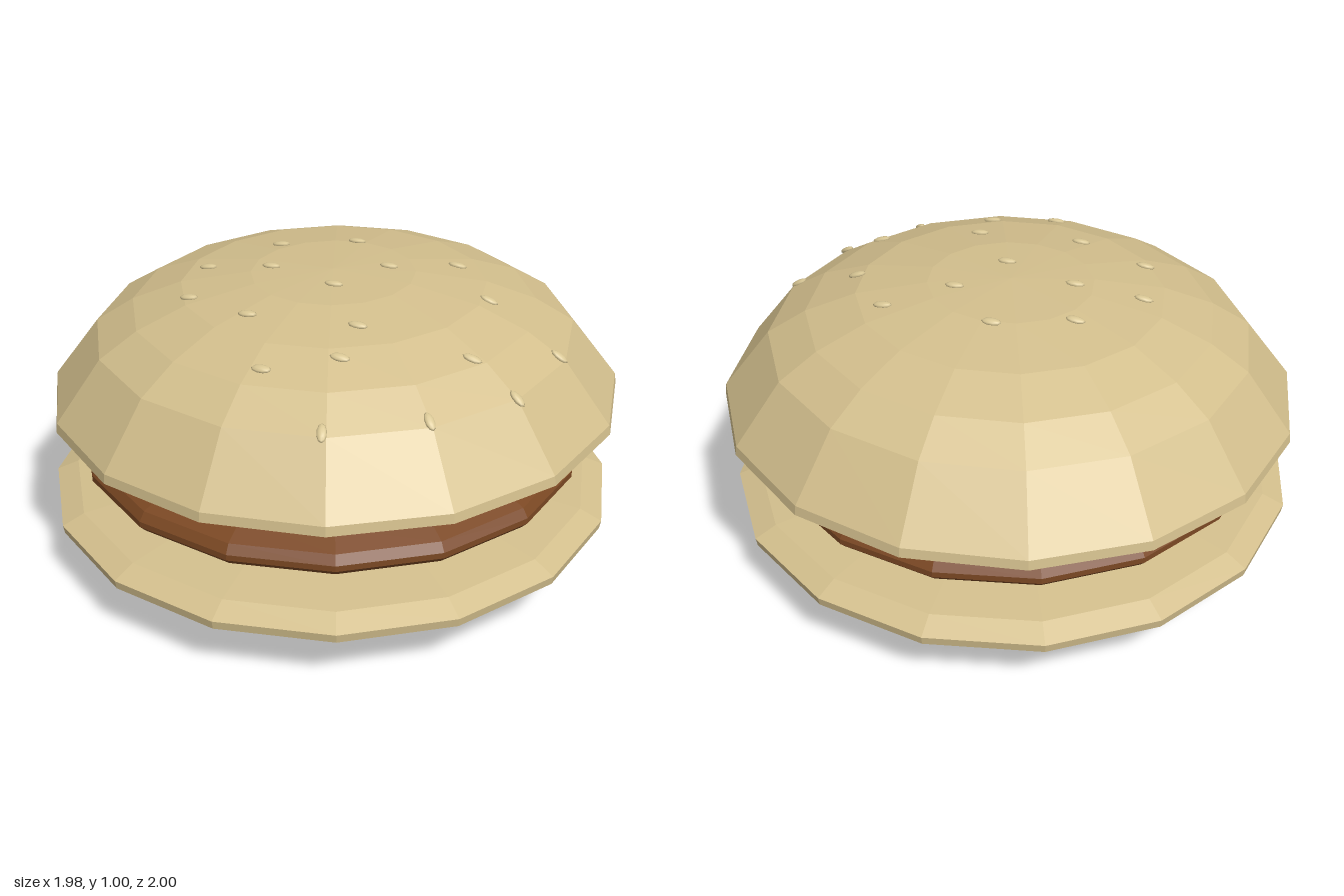
import * as THREE from 'three';

const SIDES = 16;
const bun = new THREE.MeshStandardMaterial({ color: 0xd3bf8d });
bun.name = 'bread';
const meat = new THREE.MeshStandardMaterial({ color: 0x7b4823 });
meat.name = 'grilled meat';
const sesame = new THREE.MeshStandardMaterial({ color: 0xd8c694 });
sesame.name = 'sesame';

// Profiles as [radius, height], from the bottom centre to the top centre
const topProfile = [
  [0, 0.505], [0.72, 0.513], [0.91, 0.535], [0.985, 0.563], [0.98, 0.595],
  [0.82, 0.8], [0.69, 0.88], [0.52, 0.943], [0.28, 0.98], [0, 0.99],
];
const bottomProfile = [
  [0, 0], [0.28, 0.005], [0.52, 0.021], [0.7, 0.053], [0.83, 0.093],
  [0.98, 0.2], [0.985, 0.23], [0.91, 0.262], [0.72, 0.281], [0, 0.286],
];
const pattyProfile = [
  [0, 0.325], [0.54, 0.328], [0.76, 0.336], [0.85, 0.358], [0.87, 0.38],
  [0.87, 0.4], [0.85, 0.43], [0.76, 0.465], [0.54, 0.487], [0, 0.5],
];

// Faceted solid of revolution
function facetedLathe(name, profile, material) {
  const points = profile.map(([r, y]) => new THREE.Vector2(r, y));
  const geometry = new THREE.LatheGeometry(points, SIDES).toNonIndexed();
  geometry.computeVertexNormals();
  const mesh = new THREE.Mesh(geometry, material);
  mesh.name = name;
  return mesh;
}

// Height and slope of the crown at a given ring radius
function crownAt(r) {
  for (let i = topProfile.length - 1; i > 4; i--) {
    const [r0, y0] = topProfile[i];
    const [r1, y1] = topProfile[i - 1];
    if (r <= r1) {
      const slope = (y1 - y0) / (r1 - r0);
      return { y: y0 + slope * (r - r0), slope };
    }
  }
  return { y: 0.6, slope: -1.2 };
}

// Seed centres as [x, z] seen from above
const seedSpots = [
  [-0.17, -0.28], [0.1, -0.28], [-0.42, -0.13], [-0.2, -0.06], [0.2, -0.04],
  [0.44, -0.1], [-0.47, 0.11], [0.01, 0.11], [0.52, 0.15], [-0.27, 0.28],
  [0.08, 0.38], [0.73, 0.33], [-0.22, 0.56], [0.02, 0.54], [0.43, 0.49],
  [0.56, 0.59], [0.28, 0.74], [-0.04, 0.79],
];

export function createModel() {
  const model = new THREE.Group();
  model.name = 'burger';

  const bottomBun = facetedLathe('bottomBun', bottomProfile, bun);
  bottomBun.position.set(-0.01, 0, 0.015);
  const patty = facetedLathe('patty', pattyProfile, meat);
  patty.position.set(-0.01, 0, 0.015);

  // Top bun sits slightly turned and tilted
  const topBun = new THREE.Group();
  topBun.name = 'topBun';
  topBun.position.set(0.01, 0, -0.015);
  topBun.rotation.z = 0.012;
  const crown = facetedLathe('crown', topProfile, bun);
  const turn = 0.045;
  crown.rotation.y = -turn;
  topBun.add(crown);

  // Sesame seeds lie flat on the crown; those on the steep rim point downhill
  const seedGeometry = new THREE.SphereGeometry(1, 10, 6);
  seedGeometry.scale(0.033, 0.01, 0.016);
  const seeds = new THREE.Group();
  seeds.name = 'sesameSeeds';
  const step = (Math.PI * 2) / SIDES;
  for (const [sx, sz] of seedSpots) {
    const x = sx - 0.01;
    const z = sz + 0.015;
    const radius = Math.hypot(x, z);
    const angle = Math.atan2(z, x) - turn;
    const offset = angle - Math.floor(angle / step) * step - step / 2;
    const { y, slope } = crownAt((radius * Math.cos(offset)) / Math.cos(step / 2));
    const up = new THREE.Vector3((-slope * x) / radius, 1, (-slope * z) / radius).normalize();
    const along = radius > 0.7
      ? new THREE.Vector3(x, 0, z)
      : new THREE.Vector3(1, 0, 0.38);
    along.addScaledVector(up, -along.dot(up)).normalize();
    const across = new THREE.Vector3().crossVectors(along, up);
    const seed = new THREE.Mesh(seedGeometry, sesame);
    seed.name = 'seed';
    seed.quaternion.setFromRotationMatrix(new THREE.Matrix4().makeBasis(along, up, across));
    seed.position.set(x, y, z).addScaledVector(up, 0.003);
    seeds.add(seed);
  }
  topBun.add(seeds);

  model.add(bottomBun, patty, topBun);
  return model;
}
